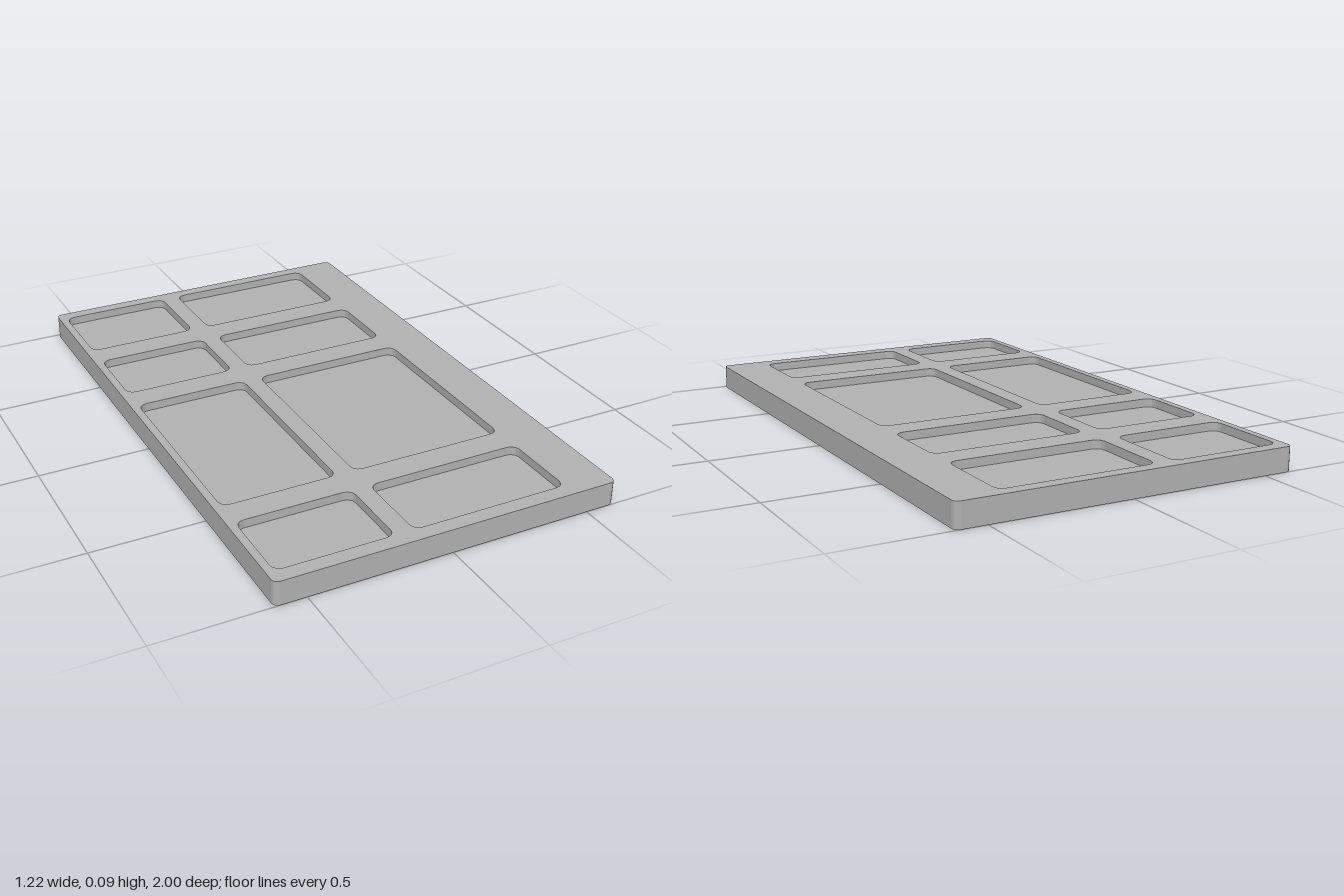
import * as THREE from 'three';

const W = 1.215, L = 2, H = 0.085, FLOOR = 0.055;

// Counter-clockwise rounded rectangle in the plan plane (plan y = -z)
function roundedOutline(x0, x1, z0, z1, r, steps = 3) {
  const pts = [];
  const corners = [[x1 - r, -z0 - r], [x0 + r, -z0 - r], [x0 + r, -z1 + r], [x1 - r, -z1 + r]];
  corners.forEach(([cx, cy], i) => {
    for (let s = 0; s <= steps; s++) {
      const a = (i + s / steps) * Math.PI / 2;
      pts.push(new THREE.Vector2(cx + r * Math.cos(a), cy + r * Math.sin(a)));
    }
  });
  return pts;
}

// Vertical wall along an outline; counter-clockwise outlines face outwards
function wall(pts, y0, y1) {
  const pos = [];
  pts.forEach((p, i) => {
    const q = pts[(i + 1) % pts.length];
    pos.push(p.x, y0, -p.y, q.x, y0, -q.y, q.x, y1, -q.y);
    pos.push(p.x, y0, -p.y, q.x, y1, -q.y, p.x, y1, -p.y);
  });
  const g = new THREE.BufferGeometry();
  g.setAttribute('position', new THREE.Float32BufferAttribute(pos, 3));
  g.computeVertexNormals();
  return g;
}

// Horizontal face at height y
function face(pts, y, holes = [], down = false) {
  const shape = new THREE.Shape(pts);
  shape.holes = holes.map(h => new THREE.Path(h));
  const g = new THREE.ShapeGeometry(shape);
  if (down) g.scale(1, -1, 1).rotateX(Math.PI / 2);
  else g.rotateX(-Math.PI / 2);
  if (down) {
    // Mirroring in plan flips the winding, so restore the downward face
    const idx = g.index.array;
    const p = g.attributes.position;
    const a = new THREE.Vector3().fromBufferAttribute(p, idx[0]);
    const b = new THREE.Vector3().fromBufferAttribute(p, idx[1]).sub(a);
    const c = new THREE.Vector3().fromBufferAttribute(p, idx[2]).sub(a);
    if (b.cross(c).y > 0) for (let i = 0; i < idx.length; i += 3) [idx[i], idx[i + 1]] = [idx[i + 1], idx[i]];
    g.computeVertexNormals();
  }
  return g.translate(0, y, 0);
}

export function createModel() {
  const model = new THREE.Group();
  model.name = 'compartmentTray';
  const grey = new THREE.MeshStandardMaterial({ color: 0xb2b2b2 });
  grey.name = 'grey';
  const add = (name, geometry) => {
    const mesh = new THREE.Mesh(geometry, grey);
    mesh.name = name;
    model.add(mesh);
  };

  // Two columns by four rows of shallow pockets
  const columns = [[-0.58, -0.175], [-0.11, 0.445]];
  const rows = [[-0.955, -0.64], [-0.54, -0.26], [-0.16, 0.565], [0.665, 0.945]];
  const pockets = columns.flatMap(([x0, x1]) => rows.map(([z0, z1]) => roundedOutline(x0, x1, z0, z1, 0.03)));

  // Slab
  const outline = roundedOutline(-W / 2, W / 2, -L / 2, L / 2, 0.02);
  add('outerWall', wall(outline, 0, H));
  add('topFace', face(outline, H, pockets));
  add('underside', face(outline, 0, [], true));

  // Pocket walls face inwards, floors face up
  pockets.forEach((p, i) => {
    add(`pocketWall${i + 1}`, wall([...p].reverse(), FLOOR, H));
    add(`pocketFloor${i + 1}`, face(p, FLOOR));
  });
  return model;
}
